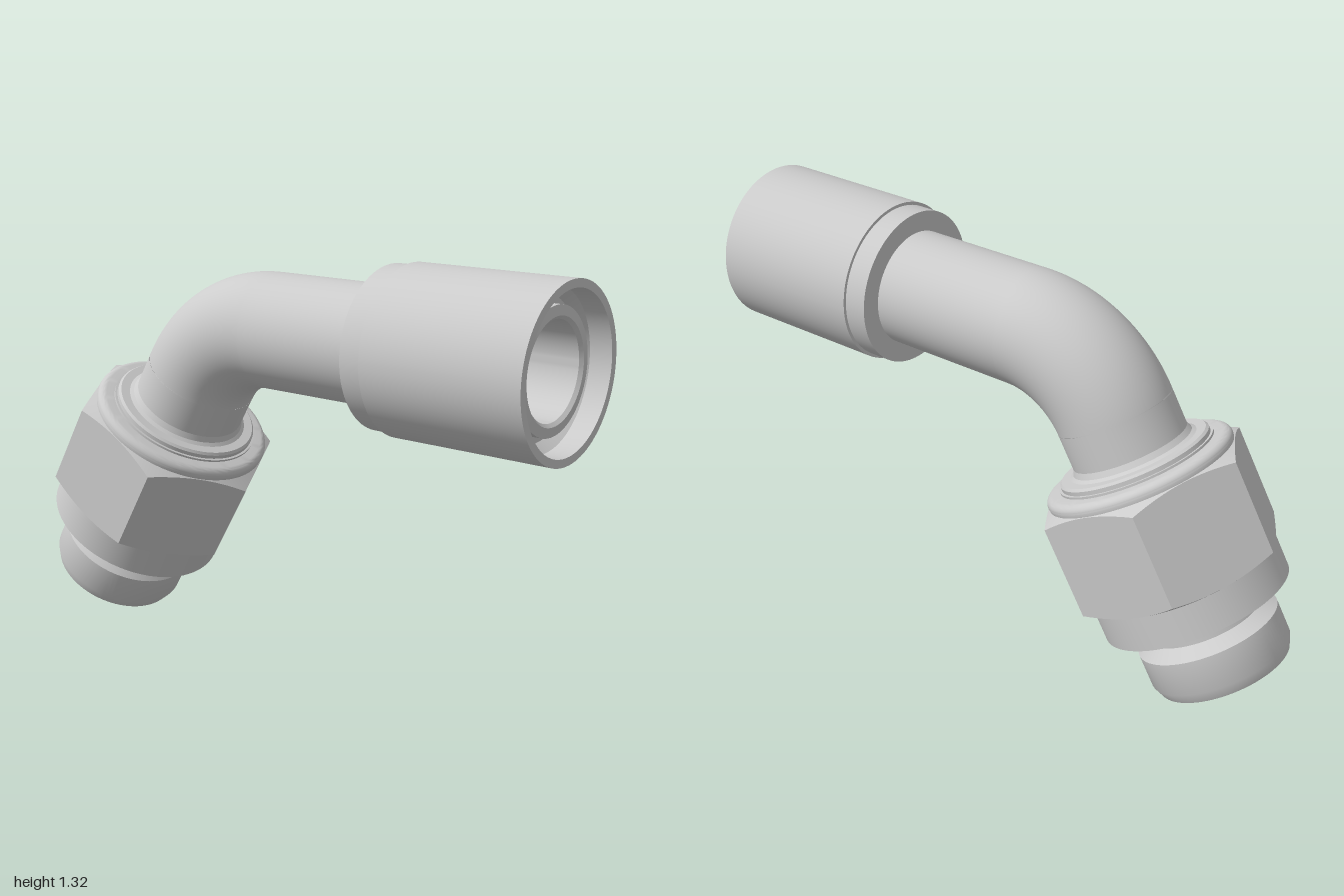
import * as THREE from 'three';
import { toCreasedNormals } from 'three/addons/utils/BufferGeometryUtils.js';

const material = new THREE.MeshStandardMaterial({ color: 0xcccccc, side: THREE.DoubleSide });
const AXIS_Y = 1.063;   // height of the straight tube
const BEND_R = 0.37;    // bend radius on the centre line
const BEND_X = -0.05;   // where the bend starts
const TUBE_R = 0.185, BORE_R = 0.145;

function addMesh(parent, name, geometry) {
  const mesh = new THREE.Mesh(geometry, material);
  mesh.name = name;
  parent.add(mesh);
  return mesh;
}

// Turned part from [radius, height] pairs
function turned(points, segments = 96) {
  const profile = points.map(([r, y]) => new THREE.Vector2(r, y));
  return toCreasedNormals(new THREE.LatheGeometry(profile, segments), 0.45);
}

// Hexagonal nut body with conical chamfers, corners on the local x axis
function hexNut(flat, bottom, top) {
  const corner = flat / Math.cos(Math.PI / 6);
  const inner = flat - 0.008;
  const profile = [[inner, 0], [1, 1], [1, 2], [inner, 3]].map(([r, y]) => new THREE.Vector2(r, y));
  const geometry = new THREE.LatheGeometry(profile, 96);
  const pos = geometry.attributes.position;
  const sixth = Math.PI / 3;
  for (let i = 0; i < pos.count; i++) {
    const row = Math.round(pos.getY(i));
    const angle = Math.atan2(pos.getZ(i), pos.getX(i));
    const offset = angle - Math.floor(angle / sixth) * sixth - sixth / 2;
    const r = row === 1 || row === 2 ? flat / Math.cos(offset) : inner;
    const rise = 0.45 * (corner - r);
    const y = row < 2 ? bottom - rise : top + rise;
    pos.setXYZ(i, r * Math.cos(angle), y, r * Math.sin(angle));
  }
  return toCreasedNormals(geometry, 0.45);
}

export function createModel() {
  const model = new THREE.Group();
  model.name = 'angledHoseFitting';

  // Straight tube and hose sleeve, turned about the x axis
  const hoseEnd = new THREE.Group();
  hoseEnd.name = 'hoseEnd';
  hoseEnd.position.y = AXIS_Y;
  hoseEnd.rotation.z = -Math.PI / 2;
  model.add(hoseEnd);
  addMesh(hoseEnd, 'straightTube', turned([
    [TUBE_R, BEND_X], [TUBE_R, 0.95], [0.155, 0.955], [BORE_R, 0.945], [BORE_R, BEND_X],
  ]));
  addMesh(hoseEnd, 'hoseSleeve', turned([
    [TUBE_R, 0.4], [0.25, 0.4], [0.25, 0.475], [0.26, 0.475], [0.26, 1],
    [0.235, 1], [0.235, 0.93], [0.21, 0.9], [TUBE_R, 0.9],
  ]));

  // Sixty degree bend, outer skin and bore
  const bend = new THREE.Group();
  bend.name = 'bend';
  bend.position.set(BEND_X, AXIS_Y - BEND_R, 0);
  bend.rotation.z = Math.PI / 2;
  model.add(bend);
  for (const [name, r] of [['bendSkin', TUBE_R], ['bendBore', BORE_R]]) {
    addMesh(bend, name, new THREE.TorusGeometry(BEND_R, r, 96, 40, Math.PI / 3));
  }

  // Tilted screw end, turned about its own y axis
  const screwEnd = new THREE.Group();
  screwEnd.name = 'screwEnd';
  screwEnd.position.set(-0.814, 0.11, 0);
  screwEnd.rotation.z = -Math.PI / 6;
  model.add(screwEnd);
  addMesh(screwEnd, 'stud', turned([
    [BORE_R, 0.886], [BORE_R, 0.12], [0.18, 0], [0.215, 0], [0.23, 0.035],
    [0.23, 0.142], [0.188, 0.175], [0.188, 0.25],
  ]));
  addMesh(screwEnd, 'nutCollar', turned([[0.18, 0.235], [0.302, 0.235], [0.302, 0.37]]));
  addMesh(screwEnd, 'hexNut', hexNut(0.3025, 0.366, 0.66));

  // Rounded bead on top of the nut
  const bead = [[0.285, 0.67], [0.3, 0.68]];
  for (let i = 0; i <= 6; i++) {
    const a = (i / 6) * Math.PI / 2;
    bead.push([0.277 + 0.025 * Math.cos(a), 0.693 + 0.025 * Math.sin(a)]);
  }
  addMesh(screwEnd, 'nutBead', turned([...bead, [0.235, 0.718]]));
  addMesh(screwEnd, 'retainingRing', turned([
    [0.25, 0.71], [0.25, 0.725], [0.242, 0.725], [0.242, 0.738], [0.235, 0.745], [0.205, 0.745],
    [0.193, 0.752], [TUBE_R, 0.77],
  ]));
  addMesh(screwEnd, 'lowerTube', turned([[TUBE_R, 0.7], [TUBE_R, 0.886]]));

  return model;
}
